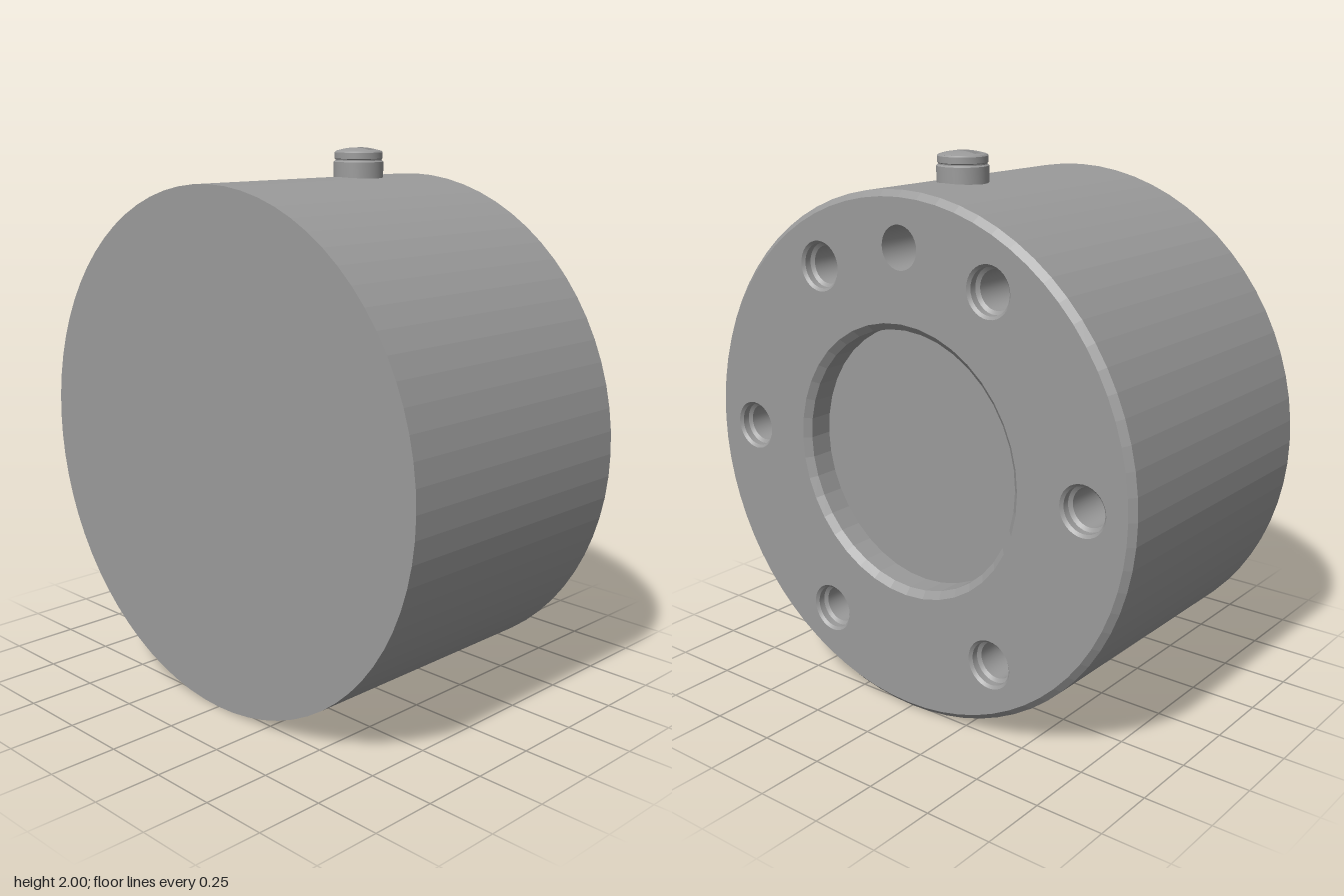
import * as THREE from 'three';
import { toCreasedNormals } from 'three/addons/utils/BufferGeometryUtils.js';
import { ParametricGeometry } from 'three/addons/geometries/ParametricGeometry.js';

const R = 0.947, HALF = 0.53, BEVEL = 0.022, BOLT_R = 0.755;
const DRUM_SIDES = 72, RECESS_SIDES = 40, HOLE_SIDES = 32;
const SMOOTH = 0.5, FACETED = 0.02; // crease angles
const material = new THREE.MeshStandardMaterial({ color: 0x9a9a9a });

function addMesh(parent, name, geometry) {
  const mesh = new THREE.Mesh(geometry, material);
  mesh.name = name;
  parent.add(mesh);
  return mesh;
}

// Turned part about y
function turned(profile, segments, crease) {
  const points = profile.map(([r, y]) => new THREE.Vector2(r, y));
  return toCreasedNormals(new THREE.LatheGeometry(points, segments), crease);
}

// Turned part whose axis points to the back (-z)
const turnedBack = (...args) => turned(...args).rotateX(-Math.PI / 2);

function circlePoints(r, segments, x = 0, y = 0) {
  return Array.from({ length: segments }, (_, i) => {
    const a = (i / segments) * Math.PI * 2;
    return new THREE.Vector2(x + r * Math.cos(a), y + r * Math.sin(a));
  });
}

function createHousing() {
  const housing = new THREE.Group();
  housing.name = 'housing';
  housing.position.y = R;

  // Closed front and side wall with a bevelled rear edge
  addMesh(housing, 'drumShell', turnedBack(
    [[0, -HALF], [R, -HALF], [R, HALF - BEVEL], [R - BEVEL, HALF]], DRUM_SIDES, FACETED));

  // Shallow round recess with a bevelled lip
  addMesh(housing, 'rearRecess', turnedBack(
    [[0.497, HALF], [0.472, HALF - 0.022], [0.472, HALF - 0.11], [0, HALF - 0.11]], RECESS_SIDES, FACETED));

  // Rear plate pierced by the recess, six bolt holes and one plain hole
  const plate = new THREE.Shape(circlePoints(R - BEVEL, DRUM_SIDES));
  plate.holes.push(new THREE.Path(circlePoints(0.497, RECESS_SIDES)));

  const addHole = (name, x, y, profile) => {
    plate.holes.push(new THREE.Path(circlePoints(profile[0][0], HOLE_SIDES, x, y)));
    addMesh(housing, name, turnedBack(profile, HOLE_SIDES, SMOOTH)).position.set(x, y, 0);
  };
  for (let i = 0; i < 6; i++) {
    const a = (i * Math.PI) / 3;
    addHole('boltHole', BOLT_R * Math.cos(a), BOLT_R * Math.sin(a),
      [[0.09, HALF], [0.08, HALF - 0.01], [0.08, HALF - 0.035], [0.068, HALF - 0.045],
        [0.068, HALF - 0.3], [0, HALF - 0.3]]);
  }
  addHole('locatingHole', 0, 0.757, [[0.077, HALF], [0.077, HALF - 0.3], [0, HALF - 0.3]]);

  addMesh(housing, 'rearPlate', new THREE.ShapeGeometry(plate).rotateY(Math.PI).translate(0, 0, -HALF));
  return housing;
}

function createScrew() {
  const screw = new THREE.Group();
  screw.name = 'topScrew';
  screw.position.z = -0.193;

  // Collar and head separated by a fine groove
  const r = 0.084, slotX = 0.068, slotZ = 0.016, floor = 1.974;
  addMesh(screw, 'screwBody', turned(
    [[0.092, 1.86], [0.092, 1.948], [0.086, 1.953], [0.086, 1.957], [0.089, 1.96],
      [0.089, 1.982], [r, 1.987]], 48, SMOOTH));

  // Domed top around a closed slot running along x
  const dome = (x, z) => 2 - 0.013 * (x * x + z * z) / (r * r);
  const chord = (z) => Math.sqrt(Math.max(0, r * r - z * z));
  const patch = (name, z0, z1, xMin, xMax, height) =>
    addMesh(screw, name, new ParametricGeometry((u, v, p) => {
      const z = z0 + (z1 - z0) * u;
      const x = xMin(z) + (xMax(z) - xMin(z)) * v;
      p.set(x, height(x, z), z);
    }, 16, 24));
  patch('domeFront', slotZ, r, (z) => -chord(z), chord, dome);
  patch('domeBack', -r, -slotZ, (z) => -chord(z), chord, dome);
  patch('domeLeft', -slotZ, slotZ, () => slotX, chord, dome);
  patch('domeRight', -slotZ, slotZ, (z) => -chord(z), () => -slotX, dome);
  patch('slotFloor', -slotZ, slotZ, () => -slotX, () => slotX, () => floor);

  // Four inward-facing slot walls
  const corners = [[slotX, -slotZ], [slotX, slotZ], [-slotX, slotZ], [-slotX, -slotZ]];
  corners.forEach(([x0, z0], i) => {
    const [x1, z1] = corners[(i + 1) % 4];
    addMesh(screw, 'slotWall', new ParametricGeometry((u, v, p) => {
      const x = x0 + (x1 - x0) * u, z = z0 + (z1 - z0) * u;
      p.set(x, floor + (dome(x, z) - floor) * v, z);
    }, 24, 1));
  });
  return screw;
}

export function createModel() {
  const model = new THREE.Group();
  model.name = 'drumHousing';
  model.add(createHousing(), createScrew());
  return model;
}
